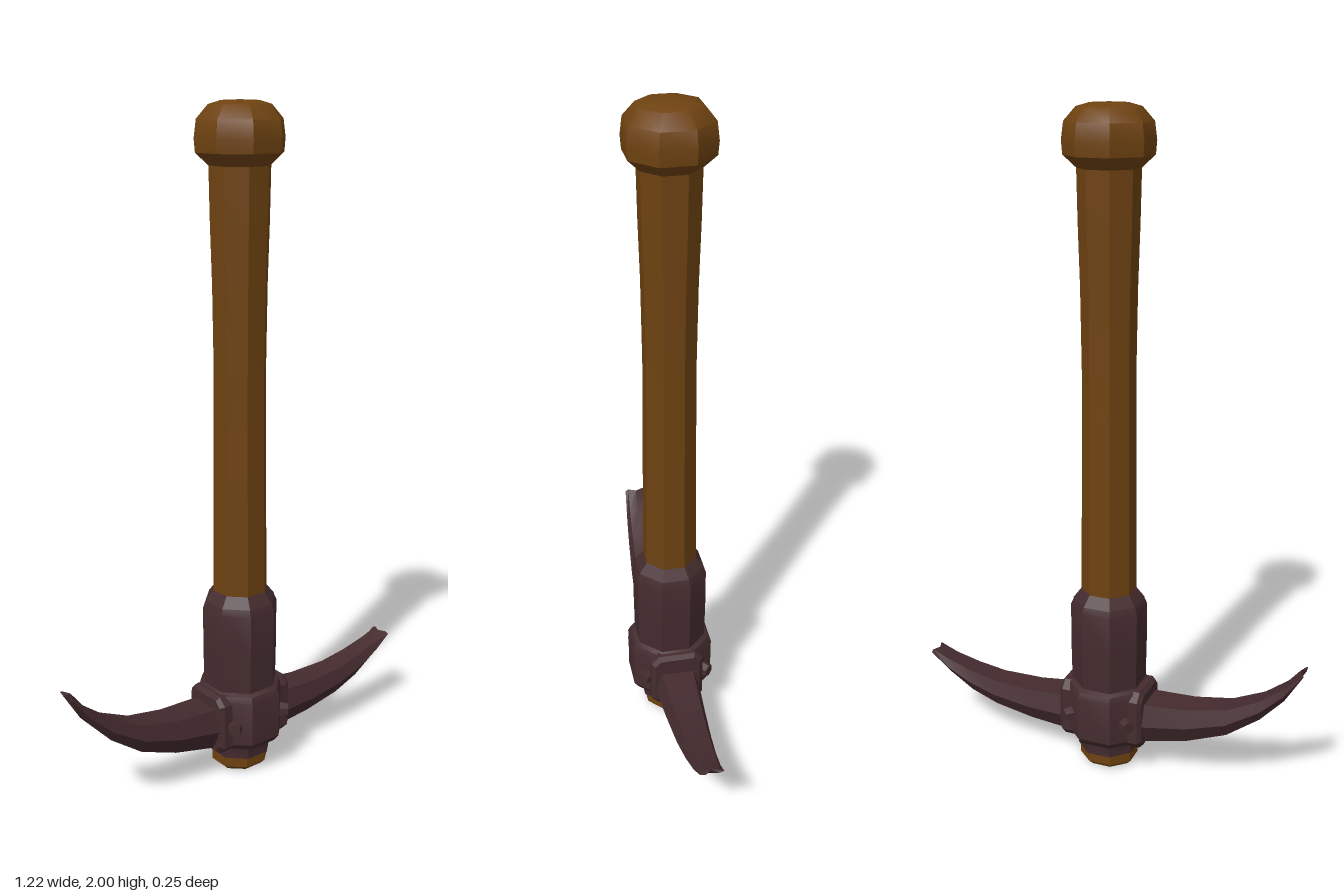
import * as THREE from 'three';
import { toCreasedNormals } from 'three/addons/utils/BufferGeometryUtils.js';

const wood = new THREE.MeshStandardMaterial({ color: 0x6e4211 });
wood.name = 'wood';
const iron = new THREE.MeshStandardMaterial({ color: 0x442b2e });
iron.name = 'iron';

function add(parent, name, geometry, material, crease = 0.5) {
  const mesh = new THREE.Mesh(toCreasedNormals(geometry, crease), material);
  mesh.name = name;
  parent.add(mesh);
  return mesh;
}

// Eight-sided turned part; profile is [distance to flat, y] from bottom to top
function octagon(profile) {
  const points = profile.map(([r, y]) => new THREE.Vector2(r / Math.cos(Math.PI / 8), y));
  return new THREE.LatheGeometry(points, 8, Math.PI / 8);
}

// Curved pick blade, lofted through stations [x, top, bottom, half width]
function bladeGeometry(stations) {
  const positions = [];
  const index = [];
  const n = 8;
  const last = stations.length - 1;
  stations.forEach(([x, top, bottom, w], s) => {
    const mid = bottom + (top - bottom) * 0.5;
    // small notch in the middle of each tip
    const notch = s === 0 ? 0.012 : s === last ? -0.012 : 0;
    const ring = [
      [top, 0], [top, 0.72 * w], [mid, w], [bottom, 0.55 * w],
      [bottom, 0], [bottom, -0.55 * w], [mid, -w], [top, -0.72 * w],
    ];
    ring.forEach(([y, z], j) => positions.push(x + (j % 4 === 0 ? notch : 0), y, z));
    if (s === last) return;
    for (let j = 0; j < n; j++) {
      const a = s * n + j;
      const b = s * n + (j + 1) % n;
      index.push(a, b, b + n, a, b + n, a + n);
    }
  });
  // end caps
  for (let j = 1; j < n - 1; j++) {
    index.push(0, j + 1, j);
    index.push(last * n, last * n + j, last * n + j + 1);
  }
  const geometry = new THREE.BufferGeometry();
  geometry.setAttribute('position', new THREE.Float32BufferAttribute(positions, 3));
  geometry.setIndex(index);
  return geometry;
}

// Box with chamfered edges around the x axis
function socketFrame(width, height, depth, bevel) {
  const h = height / 2;
  const d = depth / 2;
  const shape = new THREE.Shape([
    [-d + bevel, -h], [d - bevel, -h], [d, -h + bevel], [d, h - bevel],
    [d - bevel, h], [-d + bevel, h], [-d, h - bevel], [-d, -h + bevel],
  ].map(([x, y]) => new THREE.Vector2(x, y)));
  const bevelSize = 0.012;
  return new THREE.ExtrudeGeometry(shape, {
    depth: width - 2 * bevelSize, bevelSize, bevelThickness: bevelSize,
    bevelOffset: -bevelSize, bevelSegments: 1,
  }).translate(0, 0, -width / 2 + bevelSize).rotateY(Math.PI / 2);
}

export function createModel() {
  const group = new THREE.Group();
  group.name = 'pickaxe';

  // Wooden shaft, flaring slightly toward the grip
  add(group, 'shaft', octagon([
    [0.076, 0.05], [0.077, 0.6], [0.074, 0.95], [0.072, 1.25],
    [0.075, 1.5], [0.08, 1.68], [0.083, 1.85],
  ]), wood);

  // Rounded pommel at the grip end
  add(group, 'pommel', octagon([
    [0, 1.82], [0.08, 1.825], [0.117, 1.862], [0.12, 1.9], [0.114, 1.95],
    [0.083, 1.988], [0.05, 1.998], [0, 2],
  ]), wood, 0.7);

  // Wooden butt showing below the head
  add(group, 'butt', octagon([
    [0, 0], [0.07, 0.002], [0.084, 0.016], [0.084, 0.05], [0.078, 0.06],
  ]), wood).scale.z = 0.93;

  const head = new THREE.Group();
  head.name = 'head';
  group.add(head);

  // Iron sleeve around the shaft
  add(head, 'sleeve', octagon([
    [0.074, 0.588], [0.1, 0.552],
  ].reverse().concat([[0.07, 0.575]])), iron);
  add(head, 'sleeveBody', octagon([
    [0.104, 0.22], [0.107, 0.4], [0.107, 0.53], [0.098, 0.553],
  ]), iron);

  // Hub with chamfered rims
  add(head, 'hub', octagon([
    [0.09, 0.085], [0.112, 0.098], [0.125, 0.118], [0.126, 0.255],
    [0.118, 0.274], [0.1, 0.285],
  ]), iron);

  // Ring under the hub
  add(head, 'lowerRing', octagon([
    [0.074, 0.046], [0.088, 0.05], [0.088, 0.078], [0.096, 0.1],
  ]), iron);

  // Socket block that the blades pass through
  add(head, 'socket', socketFrame(0.27, 0.19, 0.165, 0.025), iron).position.y = 0.183;

  // One continuous curved blade with a long left and a short right arm
  add(head, 'blade', bladeGeometry([
    [-0.613, 0.424, 0.412, 0.036],
    [-0.56, 0.367, 0.325, 0.041],
    [-0.49, 0.313, 0.25, 0.047],
    [-0.39, 0.266, 0.178, 0.055],
    [-0.27, 0.243, 0.133, 0.063],
    [-0.13, 0.235, 0.102, 0.072],
    [0.13, 0.214, 0.092, 0.07],
    [0.25, 0.203, 0.1, 0.062],
    [0.38, 0.206, 0.121, 0.053],
    [0.47, 0.223, 0.152, 0.046],
    [0.55, 0.245, 0.2, 0.04],
    [0.61, 0.268, 0.258, 0.036],
  ]), iron);

  // Six-sided rivets on the diagonal faces of the hub
  for (let i = 0; i < 4; i++) {
    const angle = Math.PI / 4 + i * Math.PI / 2;
    const geometry = new THREE.CylinderGeometry(0.02, 0.027, 0.05, 6).rotateX(Math.PI / 2);
    const rivet = add(head, 'rivet', geometry, iron);
    rivet.position.set(Math.sin(angle) * 0.127, 0.18, Math.cos(angle) * 0.127);
    rivet.rotation.y = angle;
  }

  return group;
}
